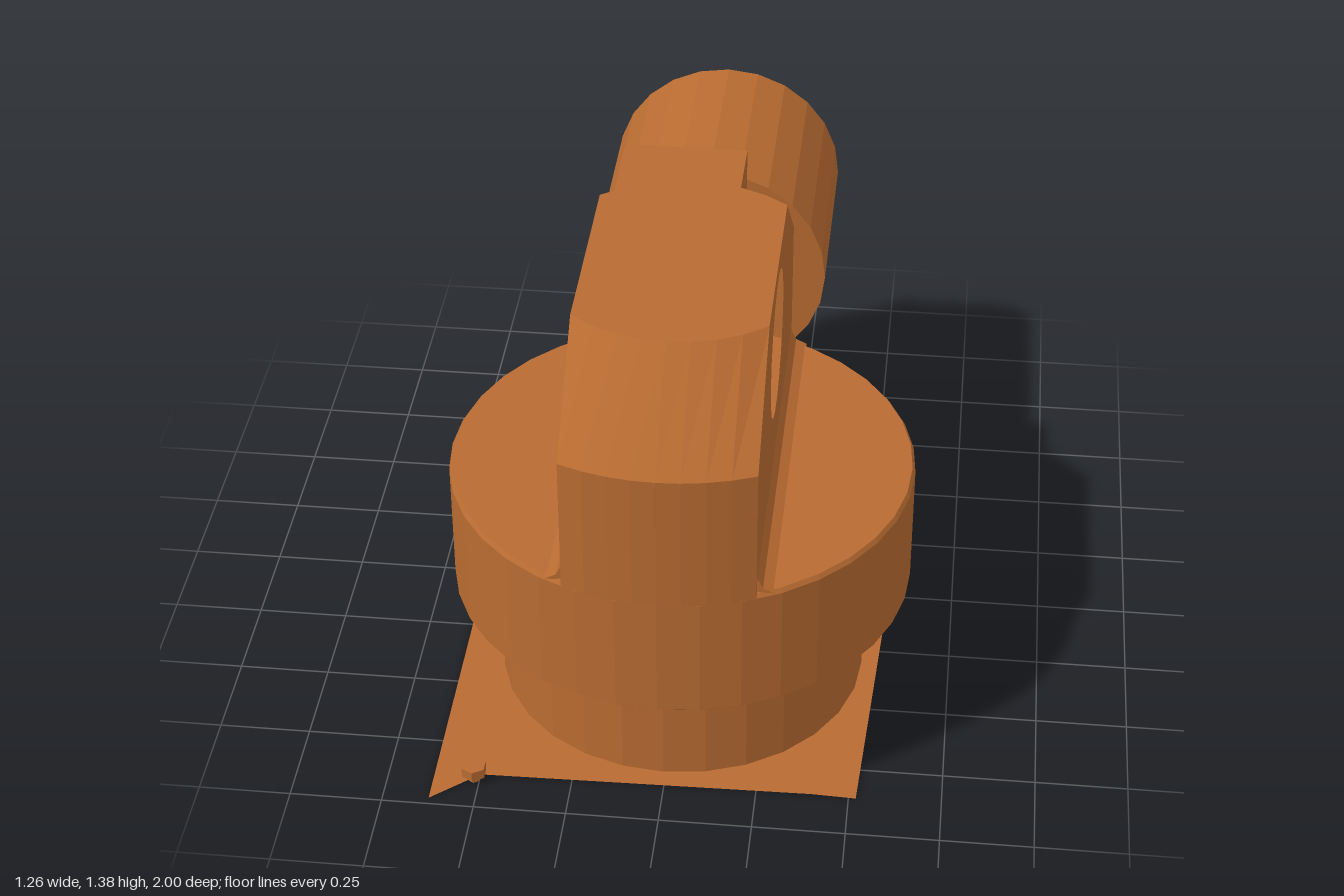
import * as THREE from 'three';

const CZ = 0.37;   // z of the vertical axis of the housing
const MY = 0.87;   // y of the motor axis
const HALF = 0.25; // half width of the upper housing

export function createModel() {
  const model = new THREE.Group();
  const paint = new THREE.MeshStandardMaterial({ color: 0xb86b31, side: THREE.DoubleSide });
  paint.name = 'copperPaint';
  paint.flatShading = true;

  function add(name, geometry, x = 0, y = 0, z = 0) {
    const mesh = new THREE.Mesh(geometry, paint);
    mesh.name = name;
    mesh.position.set(x, y, z);
    model.add(mesh);
    return mesh;
  }
  // Box given by its limits on each axis
  function box(name, x0, x1, y0, y1, z0, z1) {
    return add(name, new THREE.BoxGeometry(x1 - x0, y1 - y0, z1 - z0),
      (x0 + x1) / 2, (y0 + y1) / 2, (z0 + z1) / 2);
  }
  // Cylinder along z between two limits
  function rod(name, r, z0, z1, sides = 24) {
    const g = new THREE.CylinderGeometry(r, r, z1 - z0, sides).rotateX(Math.PI / 2);
    return add(name, g, 0, MY, (z0 + z1) / 2);
  }
  function lathe(name, profile, sides) {
    return add(name, new THREE.LatheGeometry(profile.map(p => new THREE.Vector2(...p)), sides), 0, 0, CZ);
  }
  // Extrude a (z, y) outline along x between two limits
  function prism(name, outline, x0, x1) {
    const shape = new THREE.Shape(outline.map(([z, y]) => new THREE.Vector2(-z, y)));
    const g = new THREE.ExtrudeGeometry(shape, { depth: x1 - x0, bevelEnabled: false });
    return add(name, g.rotateY(Math.PI / 2), x0, 0, 0);
  }

  // Ground plate with pulled-out corners
  const corners = [[-0.625, -0.22], [-0.6, -0.245], [-0.5, -0.15], [-0.49, -0.105], [0.4, -0.12],
    [0.5, -0.125], [0.58, -0.24], [0.56, 0.1], [0.52, 0.865], [0.4, 0.86], [-0.5, 0.875], [-0.625, 0.98]];
  const plate = new THREE.Shape(corners.map(([x, z]) => new THREE.Vector2(x, -z)));
  add('groundPlate', new THREE.ShapeGeometry(plate).rotateX(-Math.PI / 2), 0, 0.002, 0);

  // Anchor bolts
  for (const [x, z] of [[-0.515, -0.115], [0.515, -0.125], [-0.515, 0.89]]) {
    add('anchorBolt', new THREE.CylinderGeometry(0.035, 0.035, 0.03, 6), x, 0.035, z);
    add('anchorStud', new THREE.CylinderGeometry(0.018, 0.018, 0.02, 6), x, 0.01, z);
  }

  // Pedestal and its rear lug
  add('pedestal', new THREE.CylinderGeometry(0.505, 0.505, 0.36, 28), 0, 0.24, CZ);
  box('pedestalLug', -0.17, 0.08, 0.06, 0.36, -0.165, 0);

  // Wide drum with a recessed underside
  lathe('drum', [[0.49, 0.42], [0.55, 0.41], [0.56, 0.38], [0.615, 0.38], [0.628, 0.392],
    [0.628, 0.74], [0.62, 0.752], [0, 0.752]], 36);

  // Upper housing: front, roof and back, round in plan with conical shoulders
  const levels = [[0.74, 0.628, 1], [1.13, 0.628, 1], [1.38, 0.38, 1],
    [1.38, 0.38, -1], [1.13, 0.628, -1], [0.74, 0.628, -1]];
  const steps = 8, positions = [];
  const point = ([y, r, s], i) => {
    const x = HALF * (2 * i / steps - 1);
    return [x, y, CZ + s * Math.sqrt(r * r - x * x)];
  };
  for (let j = 0; j < levels.length - 1; j++) {
    for (let i = 0; i < steps; i++) {
      const a = point(levels[j], i), b = point(levels[j], i + 1);
      const c = point(levels[j + 1], i + 1), d = point(levels[j + 1], i);
      positions.push(...a, ...b, ...c, ...a, ...c, ...d);
    }
  }
  const shell = new THREE.BufferGeometry();
  shell.setAttribute('position', new THREE.Float32BufferAttribute(positions, 3));
  shell.computeVertexNormals();
  add('housingShell', shell);

  // Flat housing sides with a round opening, and a fillet at the foot
  const chord = r => Math.sqrt(r * r - HALF * HALF);
  const low = chord(0.628), high = chord(0.38);
  const side = new THREE.Shape([[-low, 0.74], [low, 0.74], [low, 1.13], [high, 1.38], [-high, 1.38], [-low, 1.13]]
    .map(p => new THREE.Vector2(...p)));
  side.holes.push(new THREE.Path().absarc(0, 1.132, 0.2, 0, Math.PI * 2, true));
  for (const s of [-1, 1]) {
    const g = new THREE.ShapeGeometry(side, 9).rotateY(s * Math.PI / 2);
    add('housingSide', g, s * HALF, 0, CZ);
    const corner = new THREE.Shape([[0, 0], [0.045, 0], [0.015, 0.015], [0, 0.045]]
      .map(([x, y]) => new THREE.Vector2(s * x, y)));
    add('sideFillet', new THREE.ExtrudeGeometry(corner, { depth: 1.12, bevelEnabled: false }),
      s * HALF, 0.75, CZ - 0.56);
  }
  // Box on the rear shoulder
  box('shoulderBox', -0.215, 0.12, 1.19, 1.379, -0.185, 0.07);

  // Bracket and neck carrying the motor
  prism('motorBracket', [[-0.2, 0.64], [-0.25, 0.64], [-0.33, 0.71], [-0.33, 1.11], [-0.2, 1.115]], -0.19, 0.185);
  rod('motorNeck', 0.148, -0.37, -0.32, 16);

  // Motor with end cover, cover blocks and terminal box
  rod('motorBody', 0.333, -0.942, -0.355);
  rod('motorEndCover', 0.275, -0.965, -0.93);
  box('coverBlockLarge', -0.18, 0.07, 0.725, 0.94, -1, -0.95);
  box('coverBlockSmall', -0.18, -0.05, 0.97, 1.08, -1, -0.95);
  box('terminalBox', -0.21, 0.13, 0.47, 0.66, -0.78, -0.515);

  return model;
}
